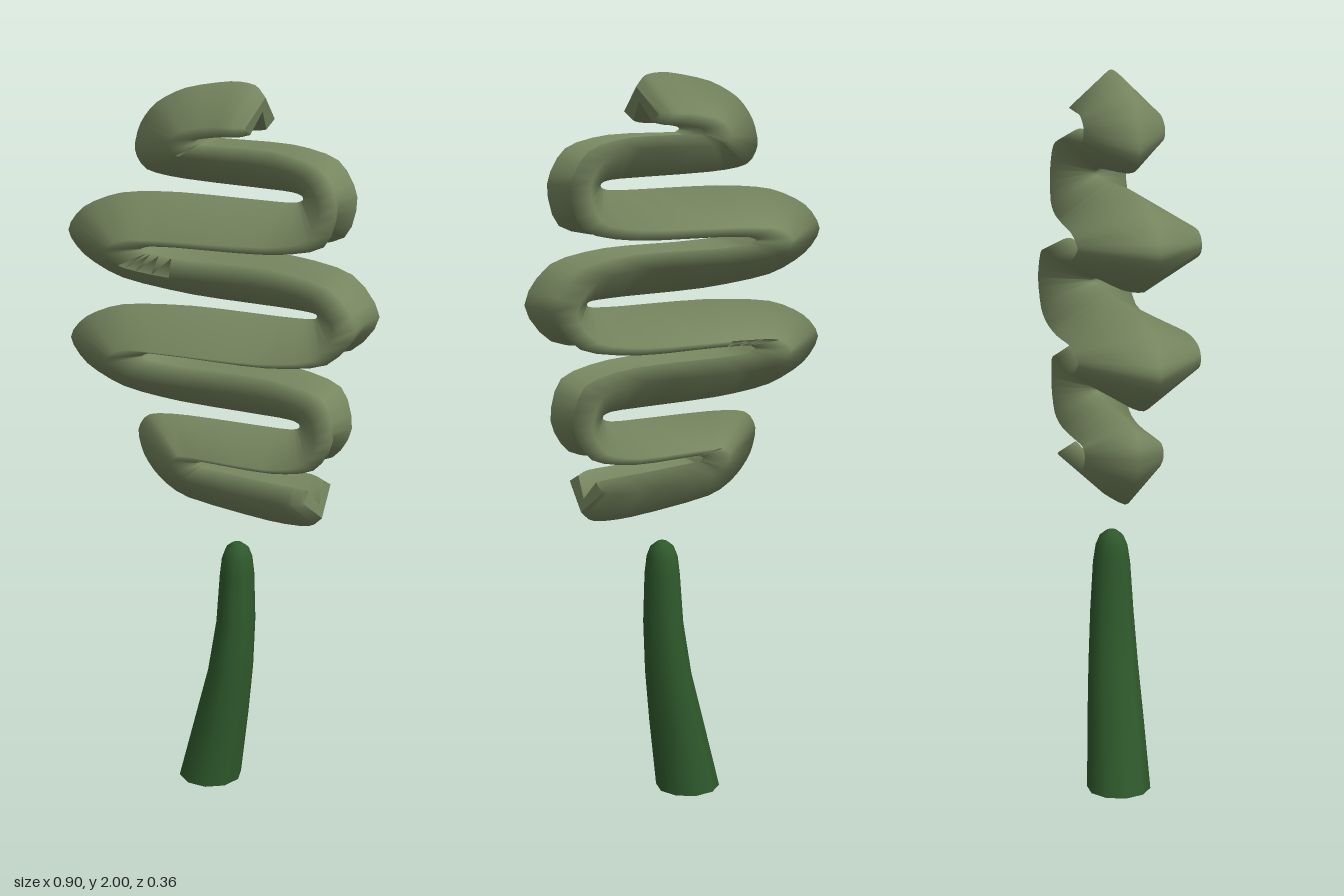
import * as THREE from 'three';

const sage = new THREE.MeshStandardMaterial({ color: 0x76865f });
sage.name = 'sageGreen';
const darkGreen = new THREE.MeshStandardMaterial({ color: 0x2f5a2c });
darkGreen.name = 'darkGreen';

// Skin a list of closed rings; each ring runs counter-clockwise seen from the start.
function loft(rings) {
  const n = rings[0].length, pos = [], idx = [];
  rings.forEach(r => r.forEach(p => pos.push(...p)));
  for (let i = 0; i < rings.length - 1; i++) {
    for (let j = 0; j < n; j++) {
      const a = i * n + j, b = i * n + (j + 1) % n;
      idx.push(a, a + n, b, b, a + n, b + n);
    }
  }
  // end caps with their own corners, fanned from corner 3
  [rings[0], rings[rings.length - 1]].forEach((r, end) => {
    const base = pos.length / 3;
    r.forEach(p => pos.push(...p));
    for (let k = 1; k < n - 1; k++) {
      const b = base + (3 + k) % n, c = base + (4 + k) % n;
      if (end) idx.push(base + 3, c, b);
      else idx.push(base + 3, b, c);
    }
  });
  const g = new THREE.BufferGeometry();
  g.setAttribute('position', new THREE.Float32BufferAttribute(pos, 3));
  g.setIndex(idx);
  g.computeVertexNormals();
  return g;
}

// Upper half of the winding crown: ridge x, y, lobe x, y, half width, notch depth
const STATIONS = [
  [0.15, 1.965, 0.13, 1.875, 0.085, 0.4],
  [0.12, 1.995, 0.10, 1.868, 0.11, 0.4],
  [0.05, 2.00, 0.05, 1.865, 0.11, 0.4],
  [-0.08, 1.975, 0.0, 1.857, 0.11, 0.4],
  [-0.17, 1.93, -0.01, 1.855, 0.11, 0.5],
  [-0.22, 1.87, -0.02, 1.851, 0.11, 0.6],
  [-0.237, 1.80, -0.02, 1.846, 0.11, 0.6],
  [-0.20, 1.75, -0.01, 1.842, 0.11, 0.5],
  [-0.08, 1.735, 0.0, 1.84, 0.11, 0.4],
  [0.20, 1.73, 0.20, 1.84, 0.11, 0.4],
  [0.25, 1.724, 0.33, 1.81, 0.11, 0.6],
  [0.26, 1.715, 0.385, 1.72, 0.11, 0.75],
  [0.25, 1.706, 0.35, 1.61, 0.115, 0.6],
  [0.20, 1.70, 0.20, 1.575, 0.13, 0.4],
  [-0.10, 1.698, -0.06, 1.57, 0.165, 0.4],
  [-0.28, 1.68, -0.14, 1.565, 0.17, 0.5],
  [-0.40, 1.63, -0.16, 1.56, 0.168, 0.6],
  [-0.452, 1.56, -0.17, 1.555, 0.165, 0.6],
  [-0.40, 1.495, -0.16, 1.549, 0.168, 0.6],
  [-0.28, 1.445, -0.14, 1.544, 0.17, 0.5],
  [-0.06, 1.423, -0.03, 1.54, 0.178, 0.4],
  [0.20, 1.42, 0.20, 1.54, 0.155, 0.5],
  [0.29, 1.416, 0.37, 1.51, 0.14, 0.8],
];
const MID_Y = 1.4075;

function crownGeometry() {
  const lower = STATIONS.map(([rx, ry, lx, ly, w, n], i) => {
    const shift = [0.18, 0.17, 0.12][i] ?? 0; // the lowest run reaches further out
    return [rx + shift, 2 * MID_Y - ry, lx + shift, 2 * MID_Y - ly, w, n];
  }).reverse();
  const all = [...STATIONS, [0.305, MID_Y, 0.45, MID_Y, 0.135, 0.95], ...lower];

  // smooth between the stations, evenly per station
  const curve = k => new THREE.CatmullRomCurve3(
    all.map(s => new THREE.Vector3(s[k], s[k + 1], s[4 + k / 2])), false, 'catmullrom', 0.4);
  const ridge = curve(0), lobe = curve(2);
  const steps = (all.length - 1) * 3, rings = [];
  for (let i = 0; i <= steps; i++) {
    const R = ridge.getPoint(i / steps), L = lobe.getPoint(i / steps);
    const w = R.z, notch = L.z;
    const at = (f, z) => [R.x + (L.x - R.x) * f, R.y + (L.y - R.y) * f, z];
    // chevron section: ridge, edges, two lobes and the notch between them
    rings.push([at(0, 0), at(0.75, w), at(1, w * 0.55), at(notch, 0),
      at(1, -w * 0.55), at(0.75, -w)]);
  }
  return loft(rings);
}

// Curved, tapering trunk: y, centre x, radius in x, radius in z
function trunkGeometry() {
  const sections = [
    [0, -0.01, 0.09, 0.09], [0.2, 0.028, 0.075, 0.08], [0.35, 0.055, 0.062, 0.071],
    [0.5, 0.071, 0.053, 0.062], [0.64, 0.074, 0.047, 0.053],
    [0.69, 0.074, 0.042, 0.045], [0.718, 0.074, 0.032, 0.033], [0.732, 0.074, 0.014, 0.014],
  ];
  const sides = 10;
  return loft(sections.map(([y, cx, rx, rz]) => Array.from({ length: sides }, (_, j) => {
    const a = j / sides * Math.PI * 2;
    return [cx + rx * Math.cos(a), y, rz * Math.sin(a)];
  })));
}

export function createModel() {
  const model = new THREE.Group();
  model.name = 'stylisedTree';
  const add = (name, geometry, material) => {
    const mesh = new THREE.Mesh(geometry, material);
    mesh.name = name;
    model.add(mesh);
  };
  add('windingCrown', crownGeometry(), sage);
  add('trunk', trunkGeometry(), darkGreen);
  return model;
}
